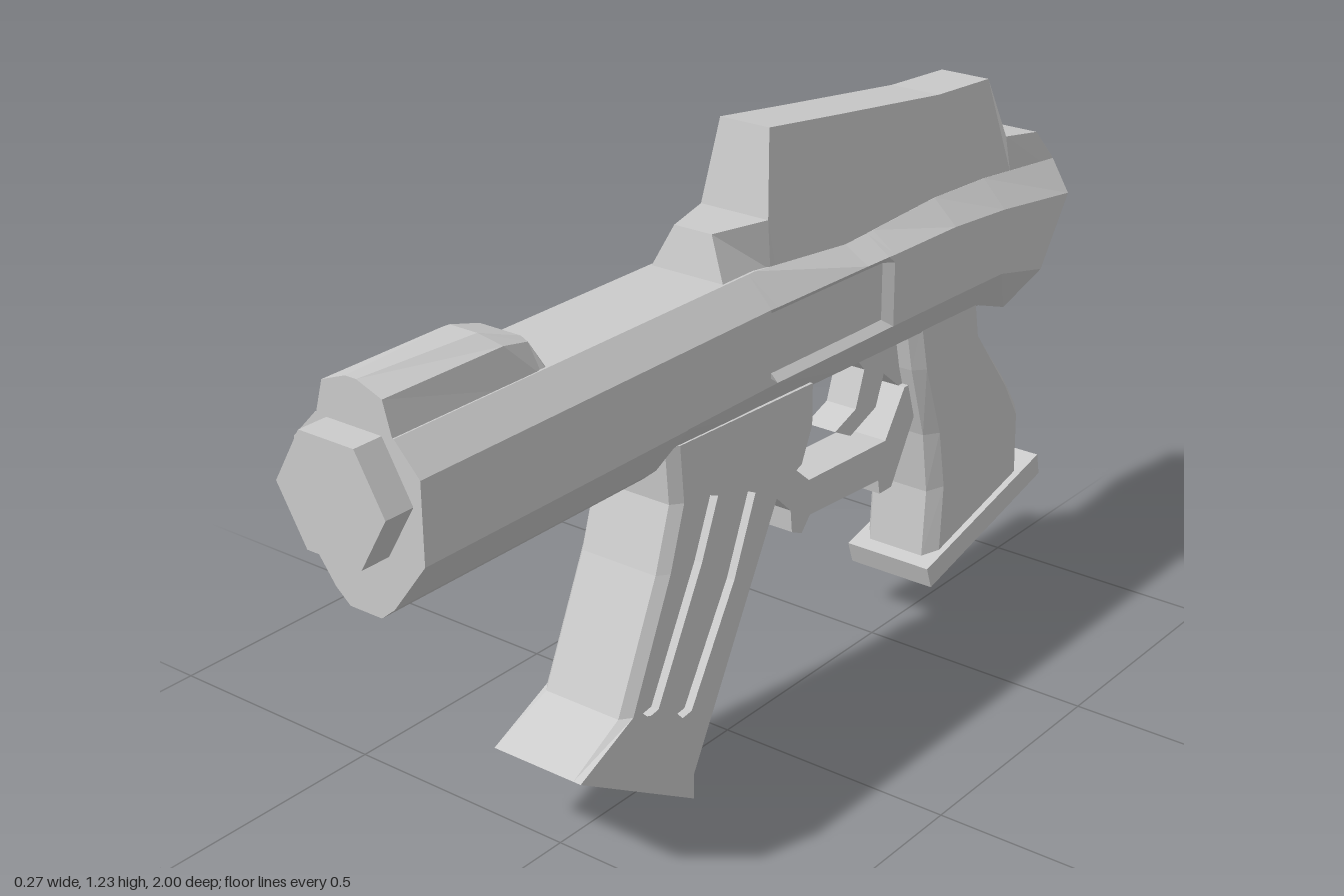
import * as THREE from 'three';

const material = new THREE.MeshStandardMaterial({ color: 0xcccccc, flatShading: true });

function addMesh(group, name, geometry) {
  const mesh = new THREE.Mesh(geometry, material);
  mesh.name = name;
  group.add(mesh);
  return mesh;
}

// Skins a list of half profiles [x, y, z]; each is mirrored in x to a closed ring.
function loft(sections) {
  const rings = sections.map((s) => [...s, ...s.slice().reverse().map(([x, y, z]) => [-x, y, z])]);
  const n = rings[0].length;
  const index = [];
  for (let i = 0; i < rings.length - 1; i++) {
    for (let j = 0; j < n; j++) {
      const a = i * n + j, b = i * n + (j + 1) % n;
      index.push(a, b, b + n, a, b + n, a + n);
    }
  }
  const last = (rings.length - 1) * n;
  for (let j = 1; j < n - 1; j++) {
    index.push(0, j + 1, j, last, last + j, last + j + 1);
  }
  const g = new THREE.BufferGeometry();
  g.setAttribute('position', new THREE.Float32BufferAttribute(rings.flat(2), 3));
  g.setIndex(index);
  const flat = g.toNonIndexed();
  flat.computeVertexNormals();
  return flat;
}

// Extrudes a side outline of [z, y] points between x0 and x1.
function sidePlate(points, x0, x1, holes = []) {
  const toVectors = (list) => list.map(([z, y]) => new THREE.Vector2(z, y));
  const shape = new THREE.Shape(toVectors(points));
  holes.forEach((h) => shape.holes.push(new THREE.Path(toVectors(h))));
  const g = new THREE.ExtrudeGeometry(shape, { depth: x1 - x0, bevelEnabled: false });
  return g.translate(0, 0, -x1).rotateY(-Math.PI / 2);
}

export function createModel() {
  const model = new THREE.Group();
  model.name = 'toyBlaster';

  // Barrel shroud and hexagonal muzzle
  const shroud = [[0.085, 1.0], [0.137, 0.945], [0.137, 0.797], [0.065, 0.7], [0.035, 0.675]];
  addMesh(model, 'barrelShroud', loft([0.94, 0.29].map((z) => shroud.map(([x, y]) => [x, y, z]))));
  const muzzle = new THREE.CylinderGeometry(0.119, 0.119, 0.08, 6, 1, false, Math.PI / 2);
  addMesh(model, 'muzzle', muzzle.rotateX(Math.PI / 2).translate(0, 0.895, 0.96));

  // Receiver with a shallow recessed panel on each side
  const bodyRows = [
    // z, top, upper side, lower side, bottom, side half width
    [0.29, 1.0, 0.945, 0.798, 0.735, 0.137],
    [0.05, 1.0, 0.945, 0.798, 0.727, 0.137],
    [0.03, 1.0, 0.944, 0.798, 0.726, 0.122],
    [-0.25, 0.97, 0.938, 0.792, 0.716, 0.122],
    [-0.32, 0.972, 0.936, 0.791, 0.714, 0.122],
    [-0.34, 0.973, 0.935, 0.79, 0.713, 0.137],
    [-0.55, 0.98, 0.931, 0.785, 0.706, 0.137],
    [-0.73, 0.972, 0.917, 0.78, 0.7, 0.137],
  ];
  const body = bodyRows.map(([z, top, up, low, bottom, w]) => [
    [0.085, top, z], [0.137, up, z], [w, up - 0.015, z],
    [w, low + 0.015, z], [0.137, low, z], [0.085, bottom, z],
  ]);
  body.push([
    [0.085, 0.945, -1.0], [0.137, 0.885, -0.98], [0.137, 0.87, -0.97],
    [0.137, 0.76, -0.895], [0.137, 0.745, -0.885], [0.085, 0.665, -0.83],
  ]);
  addMesh(model, 'receiver', loft(body));

  // Raised upper housing
  const housingRows = [
    // top half width, top y, top z, base y, base z
    [0.042, 1.08, 0.1, 0.99, 0.12],
    [0.076, 1.08, -0.02, 0.99, -0.015],
    [0.055, 1.24, -0.05, 0.99, -0.03],
    [0.055, 1.214, -0.25, 0.965, -0.25],
    [0.055, 1.17, -0.6, 0.975, -0.58],
    [0.055, 1.16, -0.78, 0.965, -0.77],
    [0.078, 1.035, -0.82, 0.96, -0.83],
    [0.078, 1.015, -0.94, 0.95, -0.95],
    [0.084, 0.95, -0.997, 0.944, -1.0],
  ];
  addMesh(model, 'upperHousing', loft(housingRows.map(([w, ty, tz, by, bz]) => [
    [w, ty, tz], [0.085, by, bz],
  ])));

  // Front sight
  addMesh(model, 'frontSight', loft([
    [[0.012, 1.08, 0.94], [0.065, 1.06, 0.94], [0.085, 0.99, 0.94]],
    [[0.03, 1.08, 0.69], [0.067, 1.06, 0.67], [0.085, 0.99, 0.67]],
    [[0.045, 1.052, 0.605], [0.06, 1.045, 0.605], [0.085, 0.99, 0.6]],
    [[0.07, 1.0, 0.585], [0.08, 0.998, 0.585], [0.085, 0.99, 0.585]],
  ]));

  // Magazine: solid core plus slotted side plates with a chamfered front edge
  const front = [[0.29, 0.75], [0.28, 0.635], [0.32, 0.51], [0.43, 0.267]];
  const outline = [
    ...front, [0.555, 0.2], [0.235, 0.01], [0.235, 0.064],
    [-0.027, 0.555], [-0.096, 0.58], [-0.128, 0.65], [-0.128, 0.735],
  ];
  const slots = [
    [[0.203, 0.63], [0.16, 0.613], [0.208, 0.496], [0.337, 0.251], [0.365, 0.247], [0.383, 0.265], [0.372, 0.299], [0.257, 0.496]],
    [[0.091, 0.597], [0.048, 0.576], [0.112, 0.421], [0.241, 0.203], [0.268, 0.2], [0.285, 0.219], [0.273, 0.256], [0.155, 0.459]],
  ];
  const magazine = new THREE.Group();
  magazine.name = 'magazine';
  model.add(magazine);
  addMesh(magazine, 'magazineCore', sidePlate(outline, -0.085, 0.085));
  for (const [x0, x1] of [[0.085, 0.102], [-0.102, -0.085]]) {
    const plate = sidePlate(outline, x0, x1, slots);
    const p = plate.attributes.position;
    for (let i = 0; i < p.count; i++) {
      const onFront = front.some(([z, y]) => Math.hypot(p.getZ(i) - z, p.getY(i) - y) < 1e-4);
      if (onFront && Math.abs(p.getX(i)) > 0.095) p.setZ(i, p.getZ(i) - 0.022);
    }
    plate.computeVertexNormals();
    addMesh(magazine, 'magazineSide', plate);
  }

  // Trigger guard and trigger
  addMesh(model, 'triggerGuard', sidePlate([
    [0.0, 0.57], [-0.027, 0.555], [-0.134, 0.453], [-0.139, 0.405], [-0.171, 0.39],
    [-0.198, 0.42], [-0.433, 0.405], [-0.439, 0.373], [-0.481, 0.373], [-0.561, 0.51],
    [-0.56, 0.58], [-0.519, 0.58], [-0.455, 0.485], [-0.193, 0.496], [-0.096, 0.58], [-0.05, 0.61],
  ], -0.05, 0.05));
  addMesh(model, 'trigger', sidePlate([
    [-0.342, 0.73], [-0.342, 0.715], [-0.396, 0.656], [-0.369, 0.58], [-0.3, 0.555],
    [-0.353, 0.528], [-0.439, 0.56], [-0.465, 0.624], [-0.519, 0.58], [-0.57, 0.56], [-0.55, 0.73],
  ], -0.035, 0.035));

  // Grip: chamfered sections from bottom to top, then its base plate
  const gripRows = [
    // front z, front y, back z, back y
    [-0.58, 0.18, -0.935, 0.27],
    [-0.59, 0.325, -0.93, 0.405],
    [-0.57, 0.46, -0.875, 0.485],
    [-0.52, 0.62, -0.75, 0.635],
    [-0.495, 0.73, -0.733, 0.73],
  ];
  addMesh(model, 'grip', loft(gripRows.map(([fz, fy, bz, by]) => {
    const at = (x, t) => [x, fy + (by - fy) * t, fz + (bz - fz) * t];
    return [at(0.065, 0), at(0.088, 0.09), at(0.088, 0.91), at(0.065, 1)];
  })));
  addMesh(model, 'gripBase', sidePlate(
    [[-0.55, 0.171], [-0.567, 0.122], [-0.989, 0.229], [-0.979, 0.277]], -0.1, 0.1));

  return model;
}
